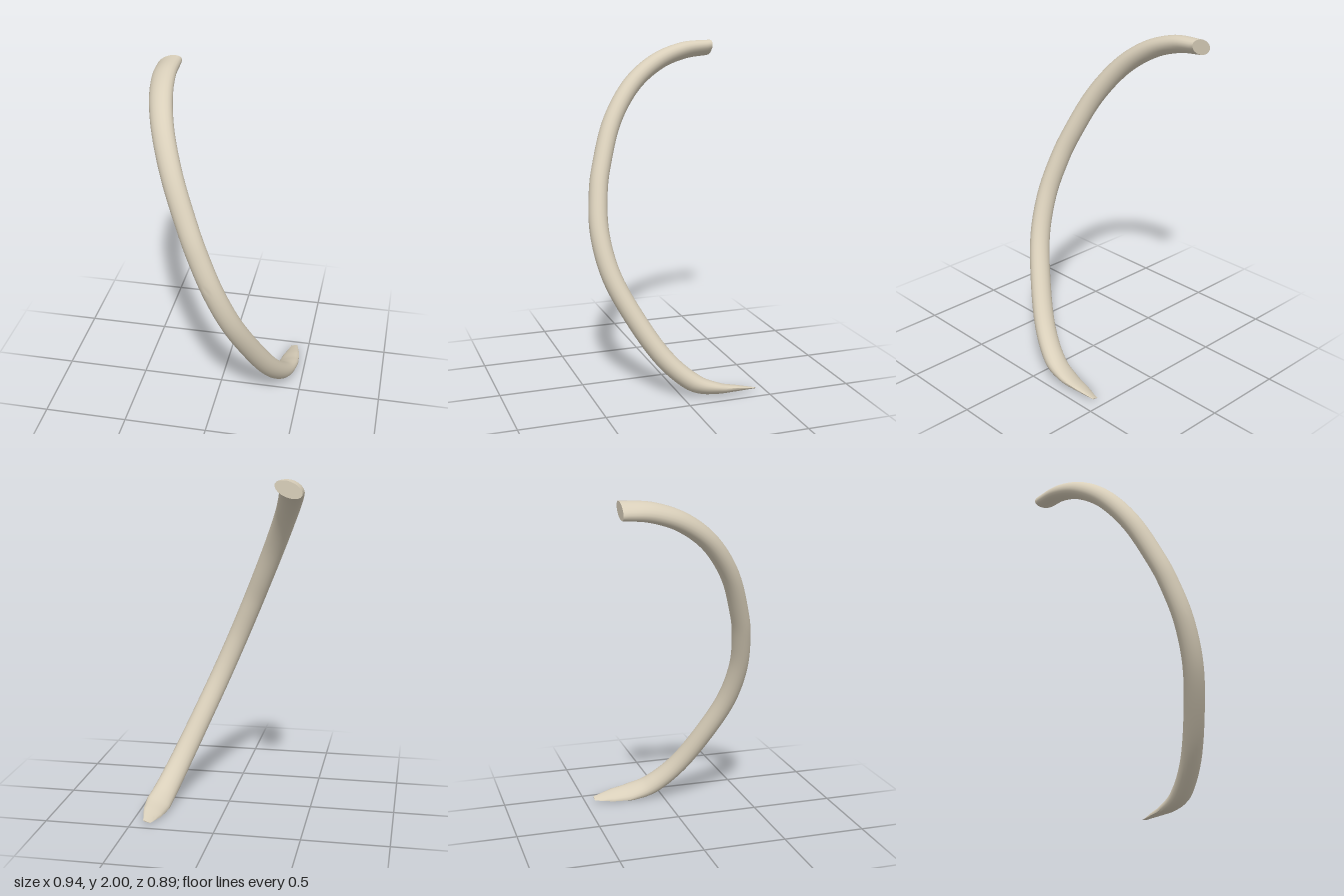
import * as THREE from 'three';
import { toCreasedNormals } from 'three/addons/utils/BufferGeometryUtils.js';

const bone = new THREE.MeshStandardMaterial({ color: 0xd9cfba });
bone.name = 'bone';

// Stations from the upper end to the pointed lower end: y, z, width, thickness
const stations = [
  [1.952, -0.445, 0.16, 0.085],
  [1.936, -0.27, 0.152, 0.1],
  [1.87, -0.085, 0.142, 0.108],
  [1.74, 0.09, 0.132, 0.11],
  [1.54, 0.235, 0.128, 0.11],
  [1.3, 0.33, 0.126, 0.11],
  [1.14, 0.37, 0.126, 0.11],
  [0.93, 0.388, 0.126, 0.112],
  [0.695, 0.347, 0.128, 0.114],
  [0.455, 0.235, 0.13, 0.114],
  [0.235, 0.095, 0.134, 0.112],
  [0.09, -0.06, 0.142, 0.108],
  [0.04, -0.2, 0.148, 0.07],
  [0.026, -0.32, 0.115, 0.04],
  [0.014, -0.44, 0.045, 0.008],
];

// The rib bends within one plane that leans sideways
const across = new THREE.Vector3(0.923, 0.385, 0);
const leanX = (y) => -0.4 + (1.95 - y) * 0.417;

function ribGeometry(rings = 84, sides = 20) {
  const curve = new THREE.CatmullRomCurve3(
    stations.map(([y, z]) => new THREE.Vector3(leanX(y), y, z)), false, 'catmullrom', 0.5);
  const last = stations.length - 1;
  const pos = [], index = [];
  for (let i = 0; i <= rings; i++) {
    const u = i / rings;
    const k = Math.min(Math.floor(u * last), last - 1), f = u * last - k;
    const size = (c) => THREE.MathUtils.lerp(stations[k][c], stations[k + 1][c], f) / 2;
    const centre = curve.getPoint(u);
    const normal = new THREE.Vector3().crossVectors(across, curve.getTangent(u)).normalize();
    for (let j = 0; j < sides; j++) {
      const a = (j / sides) * Math.PI * 2;
      const p = centre.clone()
        .addScaledVector(normal, Math.cos(a) * size(3))
        .addScaledVector(across, Math.sin(a) * size(2));
      // Flat underside at the foot, square cut at the upper end
      p.y = THREE.MathUtils.clamp(p.y, Math.max(0, 0.17 * (p.x - 0.33)), 2);
      p.z = Math.max(p.z, -0.445);
      if (i === 0) p.z = -0.445;
      pos.push(p.x, p.y, p.z);
    }
  }
  for (let i = 0; i < rings; i++) {
    for (let j = 0; j < sides; j++) {
      const a = i * sides + j, b = i * sides + ((j + 1) % sides);
      index.push(a, b, a + sides, b, b + sides, a + sides);
    }
  }
  // End caps as fans
  const end = rings * sides;
  for (let j = 1; j < sides - 1; j++) {
    index.push(0, j + 1, j, end, end + j, end + j + 1);
  }
  const g = new THREE.BufferGeometry();
  g.setAttribute('position', new THREE.Float32BufferAttribute(pos, 3));
  g.setIndex(index);
  return toCreasedNormals(g, 0.7);
}

export function createModel() {
  const model = new THREE.Group();
  model.name = 'ribBone';
  const rib = new THREE.Mesh(ribGeometry(), bone);
  rib.name = 'curvedRib';
  model.add(rib);
  return model;
}
